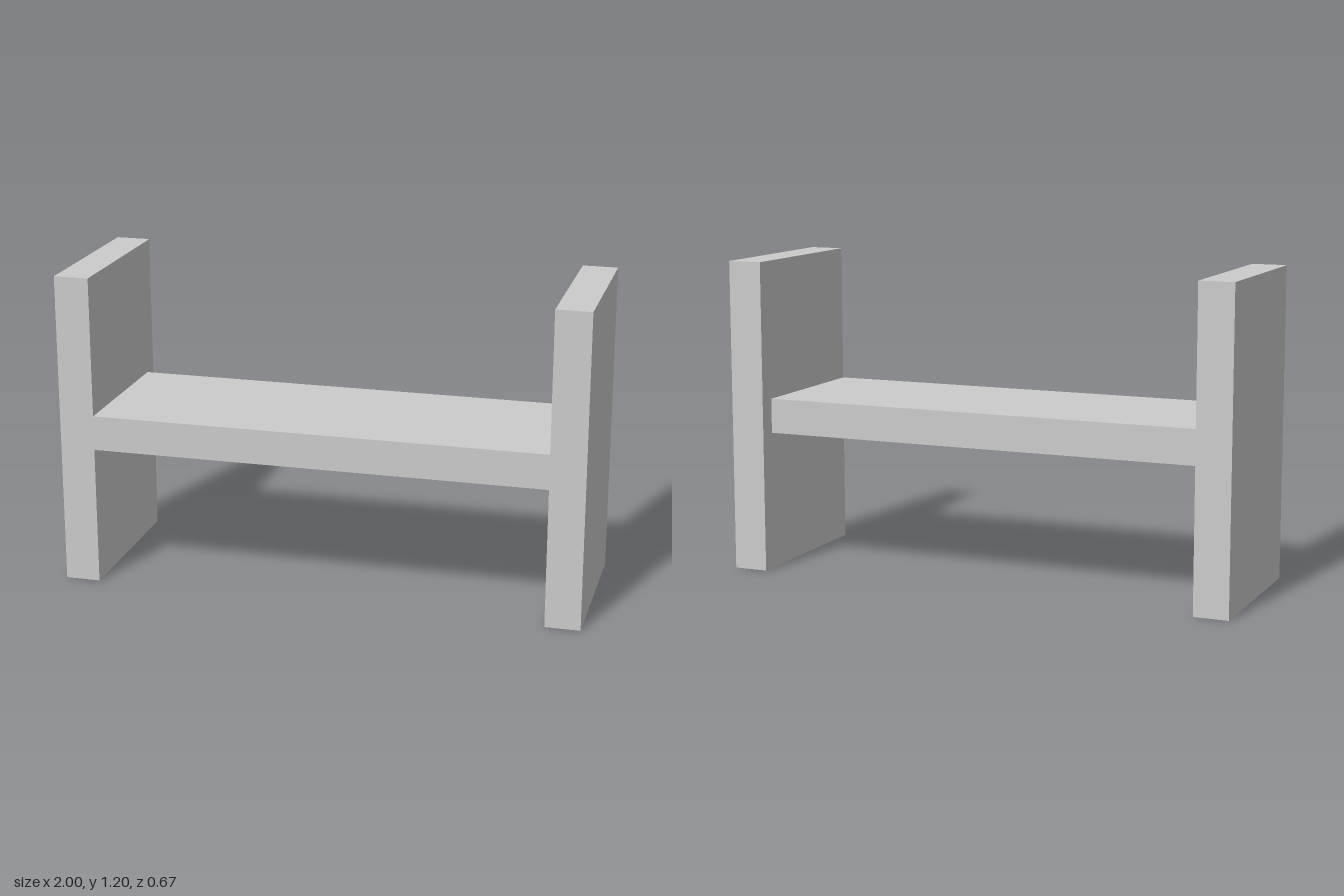
import * as THREE from 'three';

const WIDTH = 2, HEIGHT = 1.2, DEPTH = 2 / 3, BOARD = 2 / 15;
const SEAT_DEPTH = 0.6;

export function createModel() {
  const model = new THREE.Group();
  model.name = 'bench';
  const material = new THREE.MeshStandardMaterial({ color: 0xcccccc });

  const addBoard = (name, size, position) => {
    const mesh = new THREE.Mesh(new THREE.BoxGeometry(...size), material);
    mesh.name = name;
    mesh.position.set(...position);
    model.add(mesh);
  };

  // Upright end panels
  for (const [name, side] of [['leftEndPanel', 1], ['rightEndPanel', -1]]) {
    addBoard(name, [BOARD, HEIGHT, DEPTH], [side * (WIDTH - BOARD) / 2, HEIGHT / 2, 0]);
  }

  // Seat between the panels, flush at the front and set in at the back
  addBoard('seat', [WIDTH - 2 * BOARD, BOARD, SEAT_DEPTH], [0, HEIGHT / 2, (DEPTH - SEAT_DEPTH) / 2]);

  return model;
}
